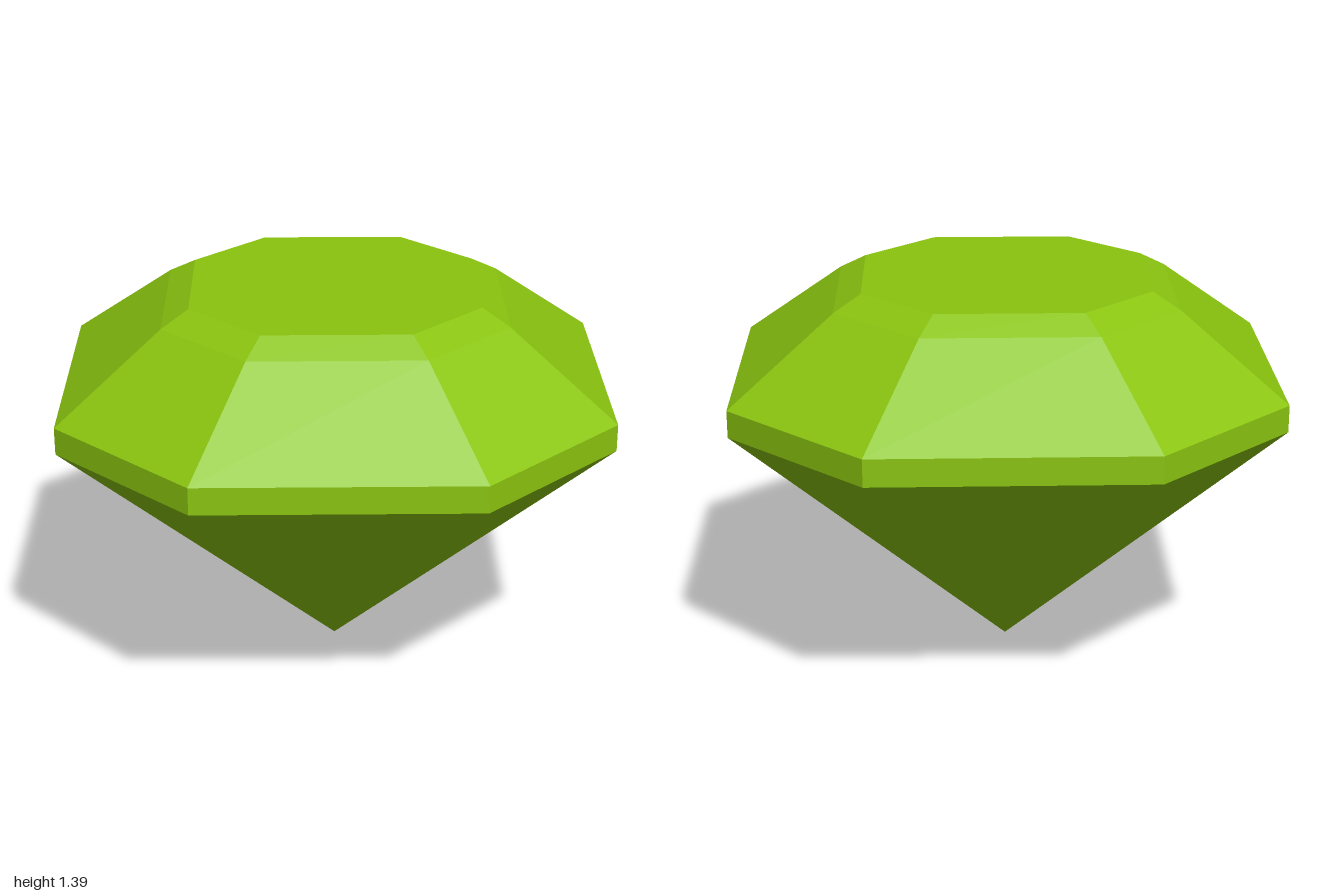
import * as THREE from 'three';

// Eight corners of the cut outline, counterclockwise seen from above
const K = 0.33;
const OUTLINE = [[-K, 1], [K, 1], [1, K], [1, -K], [K, -1], [-K, -1], [-1, -K], [-1, K]];

// Faceted band between two outline rings; a ring of radius 0 closes to a point
function facetBand(r0, y0, r1, y1) {
  const pos = [];
  const n = OUTLINE.length;
  const corner = (i, r, y) => [OUTLINE[i % n][0] * r, y, OUTLINE[i % n][1] * r];
  for (let i = 0; i < n; i++) {
    const a = corner(i, r0, y0), b = corner(i + 1, r0, y0);
    const c = corner(i + 1, r1, y1), d = corner(i, r1, y1);
    if (r0 > 0) pos.push(...a, ...b, ...c);
    if (r1 > 0) pos.push(...a, ...c, ...d);
  }
  const geo = new THREE.BufferGeometry();
  geo.setAttribute('position', new THREE.Float32BufferAttribute(pos, 3));
  geo.computeVertexNormals(); // unshared corners give flat facets
  return geo;
}

export function createModel() {
  const gem = new THREE.Group();
  gem.name = 'gem';
  const green = new THREE.MeshStandardMaterial({ color: 0x8ac40f });
  green.name = 'gem green';

  // name, lower radius and height, upper radius and height
  const bands = [
    ['pavilion', 0, 0, 1, 0.955],
    ['girdle', 1, 0.955, 1, 1.05],
    ['crown', 1, 1.05, 0.624, 1.332],
    ['crownBevel', 0.624, 1.332, 0.526, 1.386],
    ['table', 0.526, 1.386, 0, 1.386],
  ];
  for (const [name, ...dims] of bands) {
    const mesh = new THREE.Mesh(facetBand(...dims), green);
    mesh.name = name;
    gem.add(mesh);
  }
  return gem;
}
